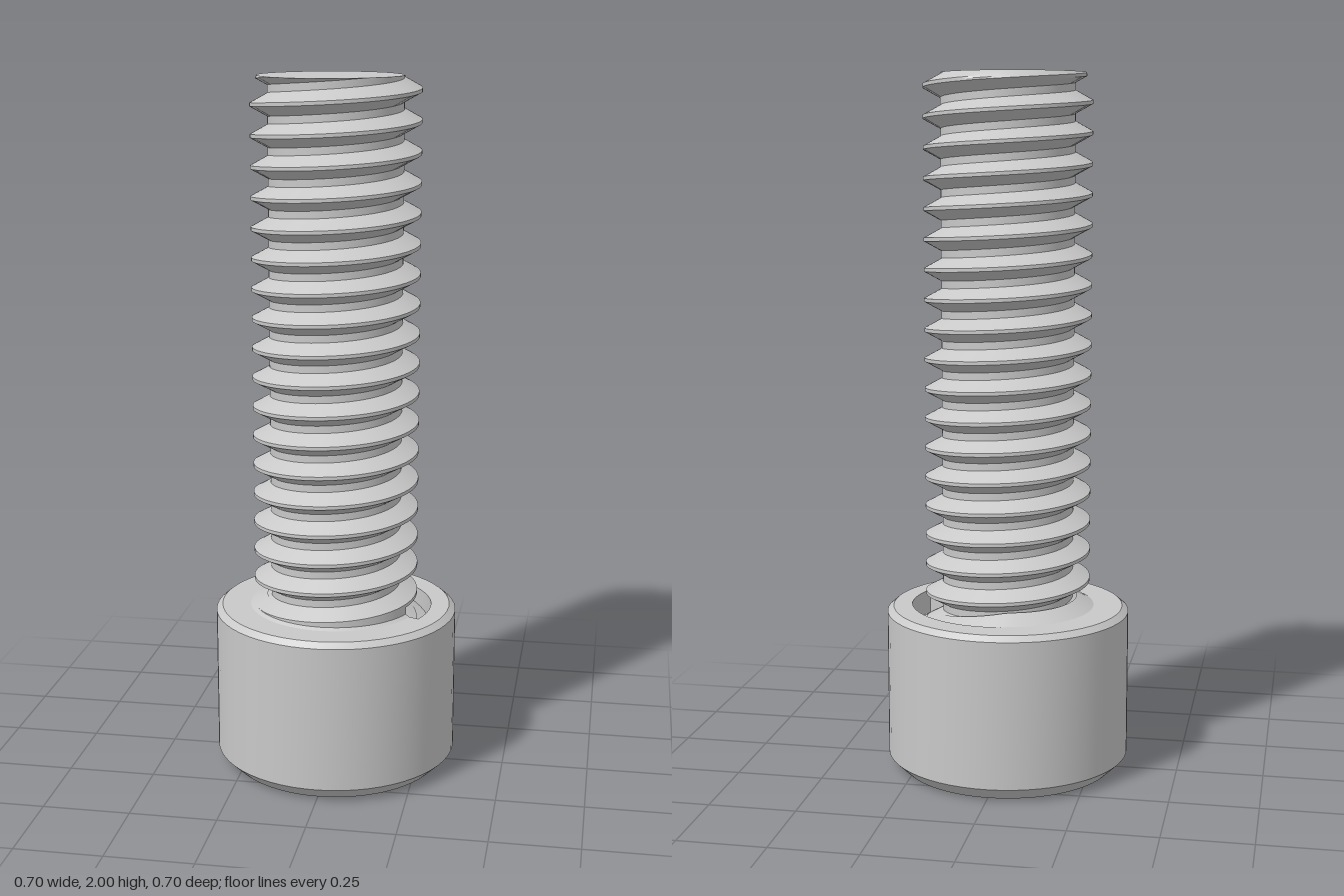
import * as THREE from 'three';
import { toCreasedNormals } from 'three/addons/utils/BufferGeometryUtils.js';

const START = 0.4;            // angle where the thread groove begins
const PITCH = 0.085, CREST = 0.238, ROOT = 0.189;
const LAST_GROOVE = 18;       // lowest groove turn, next to the head
const HEAD_TOP = 0.478, HEIGHT = 2;

// Skin a list of columns, each a list of [angle, radius, y], skipping empty faces
function skin(columns, crease = 0.45) {
  const pts = columns.map(col => col.map(([a, r, y]) =>
    new THREE.Vector3(r * Math.cos(a), y, r * Math.sin(a))));
  const out = [];
  const tri = (a, b, c) => {
    const area = b.clone().sub(a).cross(c.clone().sub(a)).length();
    if (area > 1e-9) out.push(...a, ...b, ...c);
  };
  for (let i = 0; i < pts.length - 1; i++) {
    for (let j = 0; j < pts[i].length - 1; j++) {
      const a = pts[i][j], up = pts[i][j + 1], b = pts[i + 1][j], d = pts[i + 1][j + 1];
      tri(a, up, b);
      tri(b, up, d);
    }
  }
  const g = new THREE.BufferGeometry();
  g.setAttribute('position', new THREE.Float32BufferAttribute(out, 3));
  return toCreasedNormals(g, crease);
}

// Angles of one full turn ending at the groove start, with the last one doubled
function turn(n) {
  const list = [];
  for (let i = 0; i <= n; i++) list.push({ a: START - Math.PI * 2 * (1 - i / n), end: false });
  list.push({ a: START, end: true });
  return list;
}

// Groove radius by axial distance from the groove centre (60 degree thread form)
function grooveRadius(off) {
  const t = THREE.MathUtils.clamp((Math.abs(off) - 0.0105) / 0.027, 0, 1);
  return ROOT + (CREST - ROOT) * t;
}

// Threaded shank with its flat tip
function shankGeometry() {
  const offsets = [-0.0425, -0.0375, -0.0285, -0.0195, -0.0105,
    0.0105, 0.0195, 0.0285, 0.0375];
  const columns = turn(96).map(({ a, end }) => {
    const col = [];
    for (let k = LAST_GROOVE + 2; k >= -2; k--) {
      const centre = 2.0025 - PITCH * (k + a / (Math.PI * 2));
      const filled = k > LAST_GROOVE || (k === LAST_GROOVE && end);
      for (const off of offsets) {
        const y = THREE.MathUtils.clamp(centre + off, 0.36, HEIGHT);
        let d = y - centre;
        d -= PITCH * Math.round(d / PITCH);
        const r = filled ? CREST : grooveRadius(d);
        col.push([a, Math.min(r, 0.218 + HEIGHT - y), y]);
      }
    }
    col.push([a, 0, HEIGHT]);
    return col;
  });
  return skin(columns);
}

// Head shell: chamfers, side, top ring and the sloping run-out of the groove
function headGeometry() {
  const columns = turn(60).map(({ a, end }) => {
    const t = end ? 0 : THREE.MathUtils.clamp((a + 1.75) / 1.6, 0, 1);
    const rim = 0.25 + 0.03 * t;
    return [
      [a, 0.31, 0], [a, 0.351, 0.04], [a, 0.351, 0.463], [a, 0.333, HEAD_TOP],
      [a, rim, HEAD_TOP], [a, rim, HEAD_TOP - 0.07 * t],
      [a, 0.2, THREE.MathUtils.lerp(0.505, 0.45, t)],
    ];
  });
  return skin(columns);
}

const HEX = 0.22;

// Underside ring around the hex opening
function undersideGeometry() {
  const shape = new THREE.Shape().absarc(0, 0, 0.31, 0, Math.PI * 2);
  const hole = [];
  for (let i = 0; i < 6; i++) {
    const a = -i * Math.PI / 3;
    hole.push(new THREE.Vector2(HEX * Math.cos(a), HEX * Math.sin(a)));
  }
  shape.holes.push(new THREE.Path(hole));
  return new THREE.ShapeGeometry(shape, 60).rotateX(Math.PI / 2);
}

// Hex socket: floor and six walls
function socketGeometry() {
  const columns = [];
  for (let i = 0; i <= 6; i++) {
    const a = i * Math.PI / 3;
    columns.push([[a, 0, 0.22], [a, HEX, 0.22], [a, HEX, 0]]);
  }
  return skin(columns);
}

export function createModel() {
  const steel = new THREE.MeshStandardMaterial({ color: 0xc8c8c8 });
  steel.name = 'steel grey';
  const model = new THREE.Group();
  model.name = 'socketHeadScrew';
  const parts = {
    threadedShank: shankGeometry(),
    head: headGeometry(),
    headUnderside: undersideGeometry(),
    hexSocket: socketGeometry(),
  };
  for (const [name, geometry] of Object.entries(parts)) {
    const mesh = new THREE.Mesh(geometry, steel);
    mesh.name = name;
    model.add(mesh);
  }
  return model;
}
